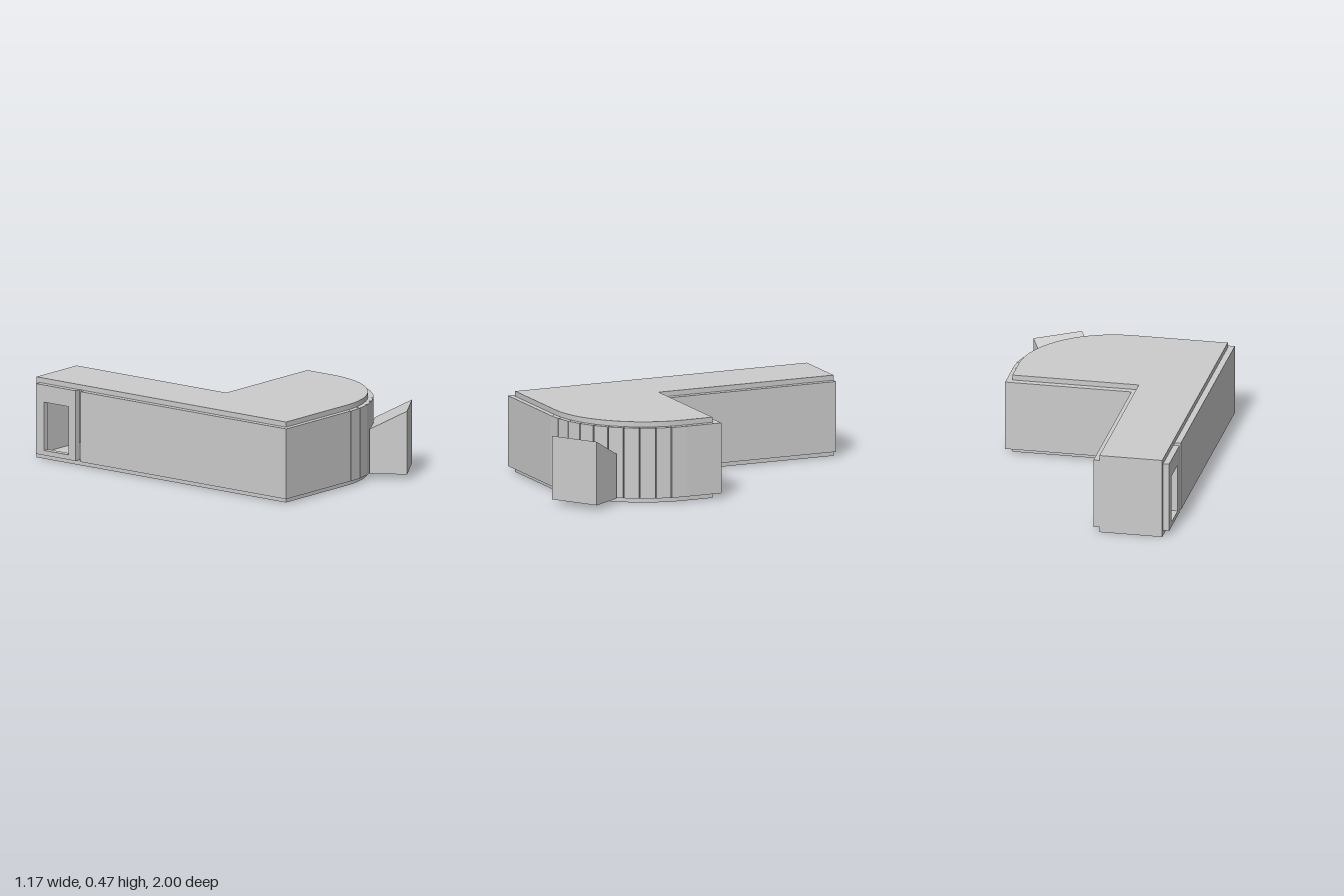
import * as THREE from 'three';

const FLOOR = 0.03, TOP = 0.44, SLAB = 0.03;   // storey heights
const T = 0.037;                               // wall thickness
const ARC_Z = 0.272, ARC_R = 0.584;            // rounded corner centre and outer radius

export function createModel() {
  const model = new THREE.Group();
  model.name = 'building';
  const mat = new THREE.MeshStandardMaterial({ color: 0xcccccc, flatShading: true });

  const add = (name, geometry) => {
    const mesh = new THREE.Mesh(geometry, mat);
    mesh.name = name;
    model.add(mesh);
    return mesh;
  };

  // Upright wall covering a rectangle in plan
  const wall = (name, x0, x1, z0, z1) => {
    const mesh = add(name, new THREE.BoxGeometry(x1 - x0, TOP - FLOOR, z1 - z0));
    mesh.position.set((x0 + x1) / 2, (FLOOR + TOP) / 2, (z0 + z1) / 2);
    return mesh;
  };

  // L-shaped plan with one rounded corner (shape y is -z)
  const plan = new THREE.Shape();
  plan.moveTo(-0.55, 1);
  plan.lineTo(-0.55, -0.826);
  plan.lineTo(0, -0.826);
  plan.absarc(0, -0.276, 0.55, -Math.PI / 2, 0, false);
  plan.lineTo(0.55, -0.095);
  plan.lineTo(-0.185, -0.095);
  plan.lineTo(-0.185, 1);
  plan.closePath();

  // Floor and roof slabs
  for (const [name, y] of [['floorSlab', 0], ['roofSlab', TOP]]) {
    const slab = new THREE.ExtrudeGeometry(plan, { depth: SLAB, bevelEnabled: false, curveSegments: 10 });
    slab.rotateX(-Math.PI / 2);
    add(name, slab).position.y = y;
  }

  // Straight walls
  wall('leftSideWall', -0.585, -0.585 + T, -0.65, 0.856);
  wall('frontWall', -0.585 + T, 0, 0.856 - T, 0.856);
  wall('rightSideWall', 0.584 - T, 0.584, 0.055, ARC_Z);
  wall('courtyardBackWall', -0.187, 0.584 - T, 0.055, 0.055 + T + 0.004);
  wall('courtyardSideWall', -0.187, -0.15, -1, 0.055);
  wall('wingEndWall', -0.55, -0.187, -1, -1 + T);

  // Flat panels round the corner, meeting on the inside with open joints outside
  const panels = 10, step = Math.PI / 2 / panels;
  const width = 2 * (ARC_R - T) * Math.tan(step / 2);
  for (let i = 0; i < panels; i++) {
    const a = (i + 0.5) * step, r = ARC_R - T / 2;
    const panel = add('curvedWallPanel', new THREE.BoxGeometry(width, TOP - FLOOR, T));
    panel.position.set(Math.sin(a) * r, (FLOOR + TOP) / 2, ARC_Z + Math.cos(a) * r);
    panel.rotation.y = a;
  }

  // Wall panel with a doorway, near the end of the wing (shape x is z)
  const door = new THREE.Shape();
  door.moveTo(-0.975, FLOOR);
  door.lineTo(-0.685, FLOOR);
  door.lineTo(-0.685, TOP);
  door.lineTo(-0.975, TOP);
  door.closePath();
  const hole = new THREE.Path();
  hole.moveTo(-0.915, 0.058);
  hole.lineTo(-0.915, 0.34);
  hole.lineTo(-0.735, 0.34);
  hole.lineTo(-0.735, 0.058);
  hole.closePath();
  door.holes.push(hole);
  const doorPanel = new THREE.ExtrudeGeometry(door, { depth: T, bevelEnabled: false });
  doorPanel.rotateY(-Math.PI / 2);
  add('doorwayPanel', doorPanel).position.x = -0.585 + T;

  // Entrance porch on the rounded corner, its roof falling towards the wall
  const side = new THREE.Shape();
  side.moveTo(0, FLOOR);
  side.lineTo(0.215, FLOOR);
  side.lineTo(0.215, 0.4);
  side.lineTo(0, 0.29);
  side.closePath();
  const porch = new THREE.ExtrudeGeometry(side, { depth: 0.298, bevelEnabled: false });
  porch.translate(0, 0, -0.149);
  porch.rotateY(-Math.PI / 2);
  const entrance = add('entrancePorch', porch);
  entrance.position.set(0.34, 0, 0.738);
  entrance.rotation.y = 0.583;

  return model;
}
